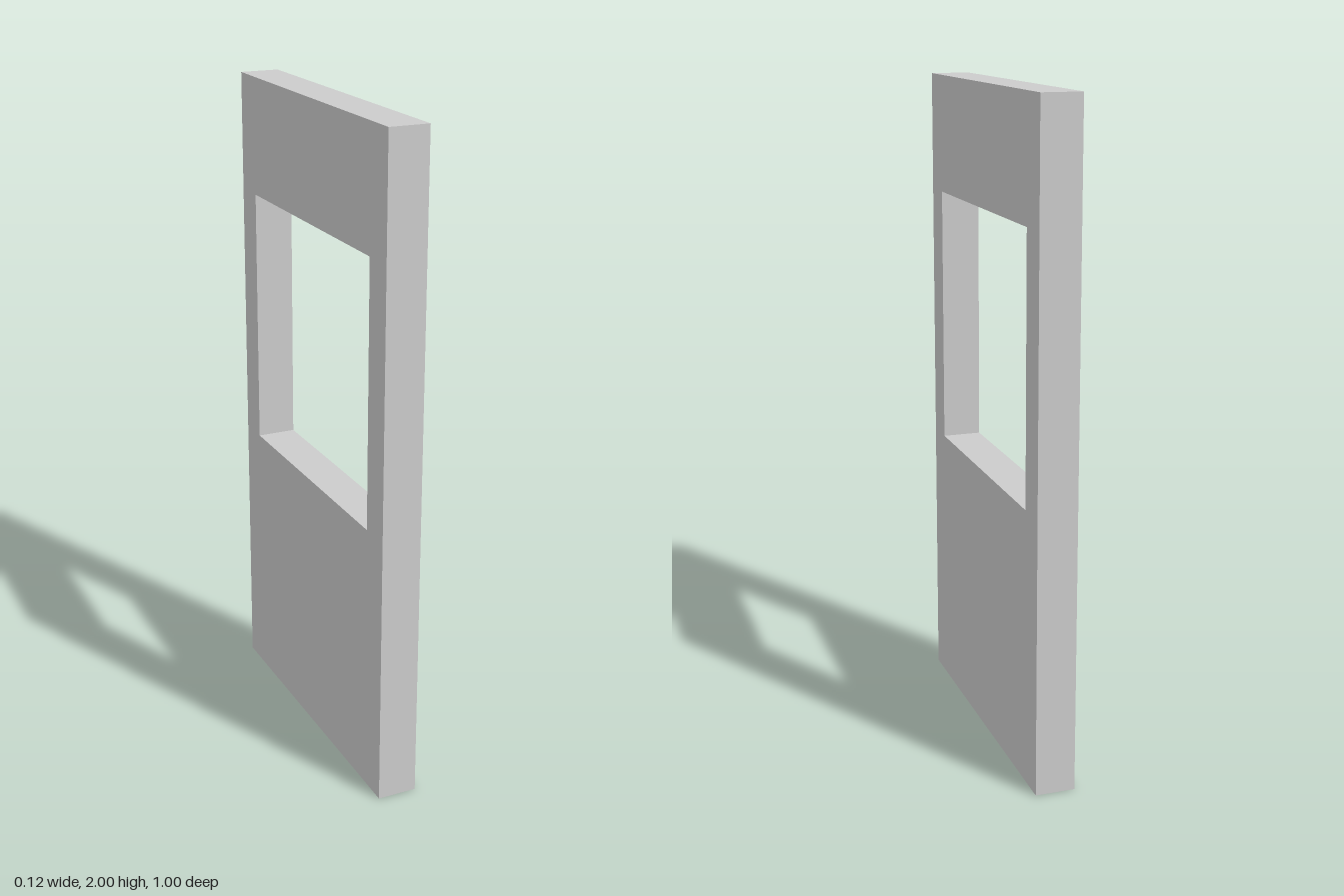
import * as THREE from 'three';

const WIDTH = 1, HEIGHT = 2, THICKNESS = 0.12;
const OPENING = { halfWidth: 0.4, bottom: 0.84, top: 1.64 };

// Rectangle outline, centred on x, between two heights
function rectangle(PathType, halfWidth, bottom, top) {
  const path = new PathType();
  path.moveTo(-halfWidth, bottom);
  path.lineTo(halfWidth, bottom);
  path.lineTo(halfWidth, top);
  path.lineTo(-halfWidth, top);
  path.closePath();
  return path;
}

export function createModel() {
  const group = new THREE.Group();
  group.name = 'windowWall';

  // Wall panel with a square window opening
  const outline = rectangle(THREE.Shape, WIDTH / 2, 0, HEIGHT);
  outline.holes.push(rectangle(THREE.Path, OPENING.halfWidth, OPENING.bottom, OPENING.top));
  const geometry = new THREE.ExtrudeGeometry(outline, { depth: THICKNESS, bevelEnabled: false });

  // Centre the thickness and turn the panel to face sideways
  geometry.translate(0, 0, -THICKNESS / 2);
  geometry.rotateY(Math.PI / 2);

  const material = new THREE.MeshStandardMaterial({ color: 0xcccccc, flatShading: true });
  const wall = new THREE.Mesh(geometry, material);
  wall.name = 'wallPanel';
  group.add(wall);

  return group;
}
